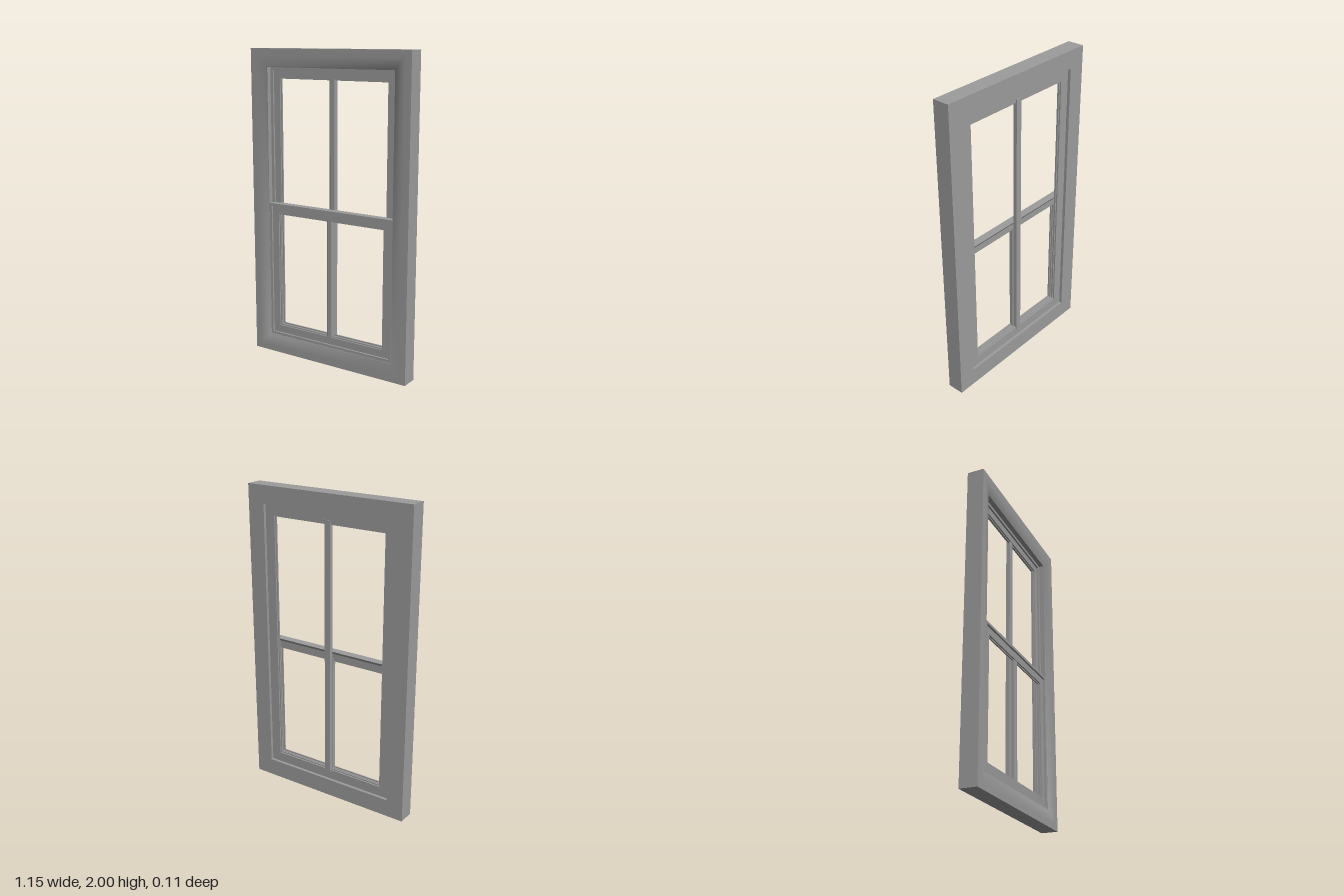
import * as THREE from 'three';
import { toCreasedNormals } from 'three/addons/utils/BufferGeometryUtils.js';

const material = new THREE.MeshStandardMaterial({ color: 0x9c9c9c });

// Mitred rectangular ring: closed profile of [inset, z] points swept round a rectangle.
// The profile runs outer back, outer front, inner front, inner back.
function ring(name, halfWidth, y0, y1, profile) {
  const positions = [], index = [], n = profile.length;
  for (const [sx, top] of [[-1, 0], [1, 0], [1, 1], [-1, 1]])
    for (const [inset, z] of profile)
      positions.push(sx * (halfWidth - inset), top ? y1 - inset : y0 + inset, z);
  for (let side = 0; side < 4; side++)
    for (let i = 0; i < n; i++) {
      const j = (i + 1) % n, next = (side + 1) % 4;
      const a = side * n + i, b = next * n + i, c = next * n + j, d = side * n + j;
      index.push(a, b, c, a, c, d);
    }
  const geometry = new THREE.BufferGeometry();
  geometry.setAttribute('position', new THREE.Float32BufferAttribute(positions, 3));
  geometry.setIndex(index);
  const mesh = new THREE.Mesh(toCreasedNormals(geometry, 0.6), material);
  mesh.name = name;
  return mesh;
}

// Sash with a stepped glazing bead round its opening, front and back
function sash(name, halfWidth, y0, y1, width, back, front) {
  const bead = 0.008;
  return ring(name, halfWidth, y0, y1, [
    [0, back], [0, front], [width - bead, front], [width - bead, front - 0.009],
    [width, front - 0.009], [width, back + 0.009],
    [width - bead, back + 0.009], [width - bead, back],
  ]);
}

// Upright glazing bar: flat at the back, chamfered at the front
function bar(name, y0, y1, back, front) {
  const w = 0.02, c = 0.006;
  const shape = new THREE.Shape([
    [-w, -back], [-w, -front + c / 2], [-w + c, -front],
    [w - c, -front], [w, -front + c / 2], [w, -back],
  ].map(([x, y]) => new THREE.Vector2(x, y)));
  const geometry = new THREE.ExtrudeGeometry(shape, { depth: y1 - y0, bevelEnabled: false });
  geometry.rotateX(-Math.PI / 2);
  const mesh = new THREE.Mesh(geometry, material);
  mesh.position.y = y0;
  mesh.name = name;
  return mesh;
}

export function createModel() {
  const model = new THREE.Group();
  model.name = 'sashWindow';

  // Outer casing whose front dips softly towards the opening
  const casing = [[0, -0.054], [0, 0.054]];
  for (let i = 0; i <= 8; i++) {
    const t = i / 8;
    casing.push([0.04 + 0.075 * t, 0.054 - 0.018 * t * t]);
  }
  casing.push([0.115, -0.054]);
  model.add(ring('casing', 0.575, 0, 2, casing));

  // Stop and full-height rear sash
  model.add(ring('rearStop', 0.461, 0.114, 1.886, [[0, -0.03], [0, 0.004], [0.02, 0.004], [0.02, -0.03]]));
  model.add(sash('rearSash', 0.461, 0.114, 1.886, 0.074, -0.035, -0.008));
  model.add(bar('rearGlazingBar', 0.165, 1.84, -0.04, -0.011));

  // Front lower sash held in its own stop, whose top forms the meeting rail's lip
  model.add(ring('frontStop', 0.461, 0.114, 1.013, [[0, -0.018], [0, 0.035], [0.018, 0.035], [0.018, -0.006]]));
  model.add(sash('frontSash', 0.444, 0.131, 0.997, 0.057, -0.002, 0.023));
  model.add(bar('frontGlazingBar', 0.165, 0.965, -0.007, 0.021));

  return model;
}
